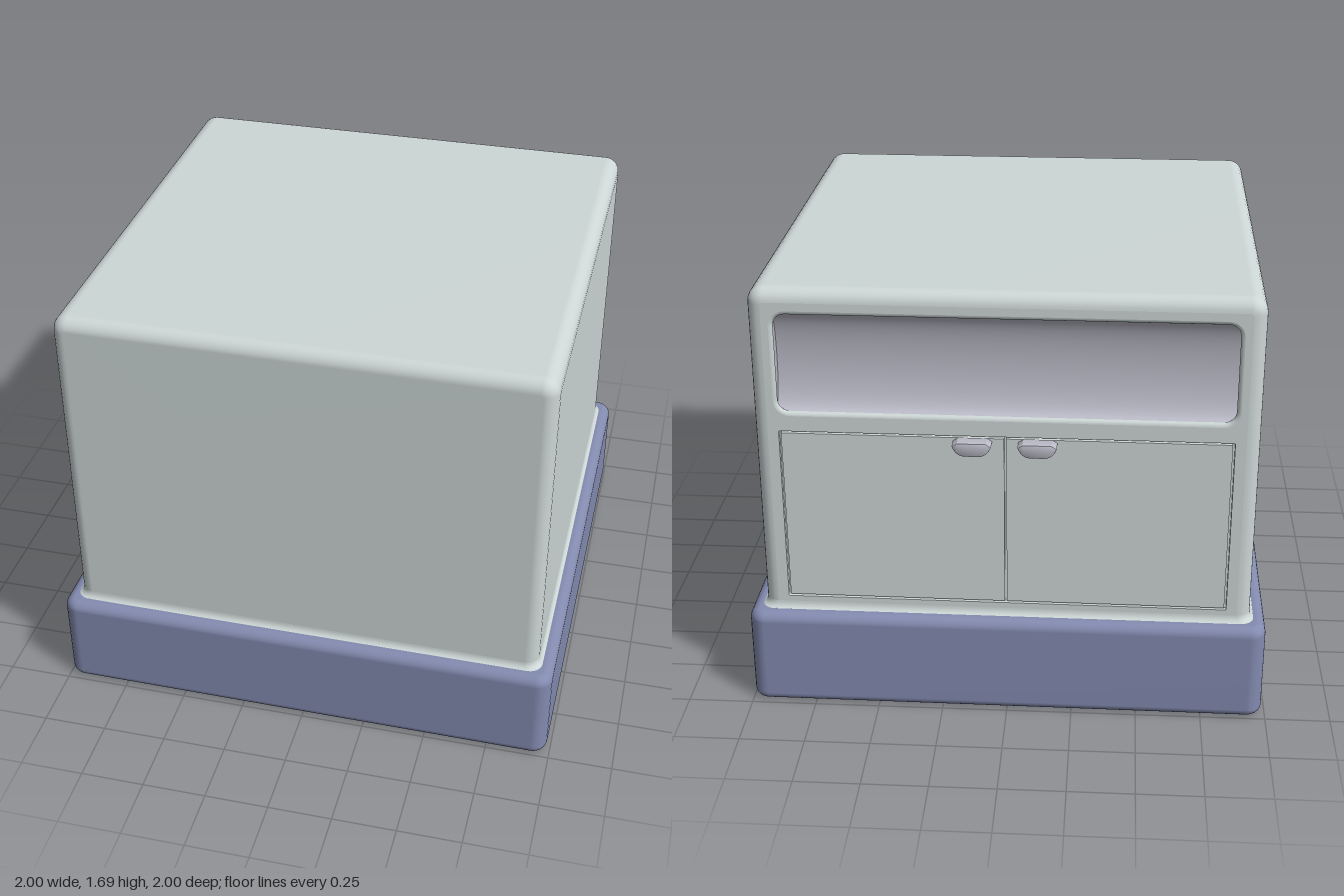
import * as THREE from 'three';
import { toCreasedNormals } from 'three/addons/utils/BufferGeometryUtils.js';

const material = (color, side = THREE.FrontSide) => new THREE.MeshStandardMaterial({ color, side });
const BODY = 0xcdd7d6, BASE = 0x838bb0, TRIM = 0xbcbcc9;

// Points of a rounded rectangle with half sizes a, b and corner radius r
function roundedLoop(a, b, r, n = 6) {
  const points = [];
  for (let q = 0; q < 4; q++) {
    const cx = (q === 0 || q === 3 ? 1 : -1) * (a - r), cy = (q < 2 ? 1 : -1) * (b - r);
    for (let i = 0; i <= n; i++) {
      const t = (q + i / n) * Math.PI / 2;
      points.push(new THREE.Vector2(cx + r * Math.cos(t), cy + r * Math.sin(t)));
    }
  }
  return points;
}

// Skin over rounded rectangles [a, b, r, z], with optional end caps
function loft(rings, capStart, capEnd) {
  const pos = [], idx = [];
  let n = 0;
  for (const [a, b, r, z] of rings) {
    const loop = roundedLoop(a, b, r);
    n = loop.length;
    loop.forEach(p => pos.push(p.x, p.y, z));
  }
  for (let i = 0; i < rings.length - 1; i++) {
    for (let j = 0; j < n; j++) {
      const k = (j + 1) % n, p = i * n, q = p + n;
      idx.push(p + j, p + k, q + k, p + j, q + k, q + j);
    }
  }
  const cap = (ring, flip) => {
    const c = pos.length / 3;
    pos.push(0, 0, rings[ring][3]);
    for (let j = 0; j < n; j++) {
      const p = ring * n + j, q = ring * n + (j + 1) % n;
      idx.push(c, flip ? q : p, flip ? p : q);
    }
  };
  if (capStart) cap(0, true);
  if (capEnd) cap(rings.length - 1, false);
  const g = new THREE.BufferGeometry();
  g.setAttribute('position', new THREE.Float32BufferAttribute(pos, 3));
  g.setIndex(idx);
  g.computeVertexNormals();
  return g;
}

// Rings of a block from z0 to z1 whose two ends are rounded by e0 and e1
function blockRings(a, b, r, z0, z1, e0, e1, n = 6) {
  const rings = [];
  const ring = (k, z) => rings.push([a - k, b - k, Math.max(r - k, 0.012), z]);
  for (let i = 0; i <= n; i++) {
    const t = i / n * Math.PI / 2;
    ring(e0 * (1 - Math.sin(t)), z0 + e0 * (1 - Math.cos(t)));
  }
  for (let i = 0; i <= n; i++) {
    const t = i / n * Math.PI / 2;
    ring(e1 * (1 - Math.cos(t)), z1 - e1 * (1 - Math.sin(t)));
  }
  return rings;
}

export function createModel() {
  const group = new THREE.Group();
  const add = (name, geometry, mat, x = 0, y = 0, z = 0) => {
    const mesh = new THREE.Mesh(geometry, mat);
    mesh.name = name;
    mesh.position.set(x, y, z);
    group.add(mesh);
  };
  const bodyMat = material(BODY), trimMat = material(TRIM);

  // Wide plinth
  const base = loft(blockRings(0.992, 0.992, 0.06, 0.003, 0.395, 0.035, 0.04), true, true);
  add('base', base.rotateX(-Math.PI / 2), material(BASE));

  // Concave skirt where the body meets the plinth
  const half = 0.931, edge = 0.052, midY = 1.0;
  const skirt = [];
  for (let i = 0; i <= 6; i++) {
    const t = i / 6 * Math.PI / 2, h = half + 0.022 * (1 - Math.sin(t));
    skirt.push([h, h, edge, 0.393 + 0.03 * (1 - Math.cos(t))]);
  }
  add('bodySkirt', loft(skirt).rotateX(-Math.PI / 2), bodyMat);

  // Body shell, its back closed by a panel with openings
  add('body', loft(blockRings(half, 0.698, 0.06, -half, half, edge, edge), false, true), bodyMat, 0, midY);

  const recess = { a: 0.853, b: 0.205, r: 0.06, y: 1.41 };
  const door = { a: 0.838, b: 0.349, r: 0.004, y: 0.795 };
  const panel = new THREE.Shape(roundedLoop(half - edge, 0.698 - edge, 0.012));
  for (const { a, b, r, y } of [recess, door]) {
    panel.holes.push(new THREE.Path(roundedLoop(a, b, r).map(p => new THREE.Vector2(p.x, p.y + y - midY))));
  }
  add('backPanel', new THREE.ShapeGeometry(panel).rotateY(Math.PI), bodyMat, 0, midY, -half);

  // Rounded lip around the recess
  const lip = [];
  for (let i = 0; i <= 4; i++) {
    const t = i / 4 * Math.PI / 2, k = 0.015 * Math.cos(t);
    lip.push([recess.a - k, recess.b - k, recess.r - k, -half + 0.015 * (1 - Math.sin(t))]);
  }
  add('recessLip', loft(lip), bodyMat, 0, recess.y);

  // Curved inside of the recess: a half round trough with an end wall on each side
  const coveMat = material(TRIM, THREE.DoubleSide), coveZ = -half + 0.015;
  const coveDepth = 0.06, coveHalf = recess.b - 0.013, coveLength = 2 * (recess.a - 0.01);
  const trough = new THREE.CylinderGeometry(1, 1, coveLength, 24, 1, true, -Math.PI / 2, Math.PI)
    .rotateZ(Math.PI / 2).scale(1, coveHalf, coveDepth);
  add('recessCove', trough, coveMat, 0, recess.y, coveZ);
  for (const s of [1, -1]) {
    const wall = new THREE.CircleGeometry(1, 24, Math.PI / 2, Math.PI)
      .rotateY(Math.PI / 2).scale(1, coveHalf, coveDepth);
    add(s > 0 ? 'leftCoveWall' : 'rightCoveWall', wall, coveMat, s * coveLength / 2, recess.y, coveZ);
  }

  // Frame and backing of the door opening
  const frame = [-half + 0.03, -half].map(z => [door.a, door.b, door.r, z]);
  add('doorFrame', toCreasedNormals(loft(frame), 0.5), bodyMat, 0, door.y);
  add('doorBacking', new THREE.BoxGeometry(1.72, 0.73, 0.02), bodyMat, 0, door.y, -half + 0.03);

  // Two doors, each with a pull
  const gap = 0.008, doorW = door.a - gap * 1.5;
  const pull = new THREE.Shape();
  pull.moveTo(-0.068, 0.012);
  pull.lineTo(-0.052, 0.023);
  pull.lineTo(0.052, 0.023);
  pull.lineTo(0.068, 0.012);
  pull.quadraticCurveTo(0.055, -0.022, 0.025, -0.023);
  pull.lineTo(-0.025, -0.023);
  pull.quadraticCurveTo(-0.055, -0.022, -0.068, 0.012);
  const pullGeo = toCreasedNormals(new THREE.ExtrudeGeometry(pull, {
    depth: 0.05, bevelThickness: 0.004, bevelSize: 0.003, bevelSegments: 2, curveSegments: 6,
  }), 0.6);
  for (const [side, s] of [['left', 1], ['right', -1]]) {
    add(side + 'Door', new THREE.BoxGeometry(doorW, 2 * (door.b - gap), 0.02), bodyMat,
      s * (gap / 2 + doorW / 2), door.y, -half + 0.011);
    add(side + 'Handle', pullGeo, trimMat, s * 0.12, 1.113, -0.985);
  }

  // Slight turn of the whole piece
  group.rotation.y = -0.006;
  return group;
}
